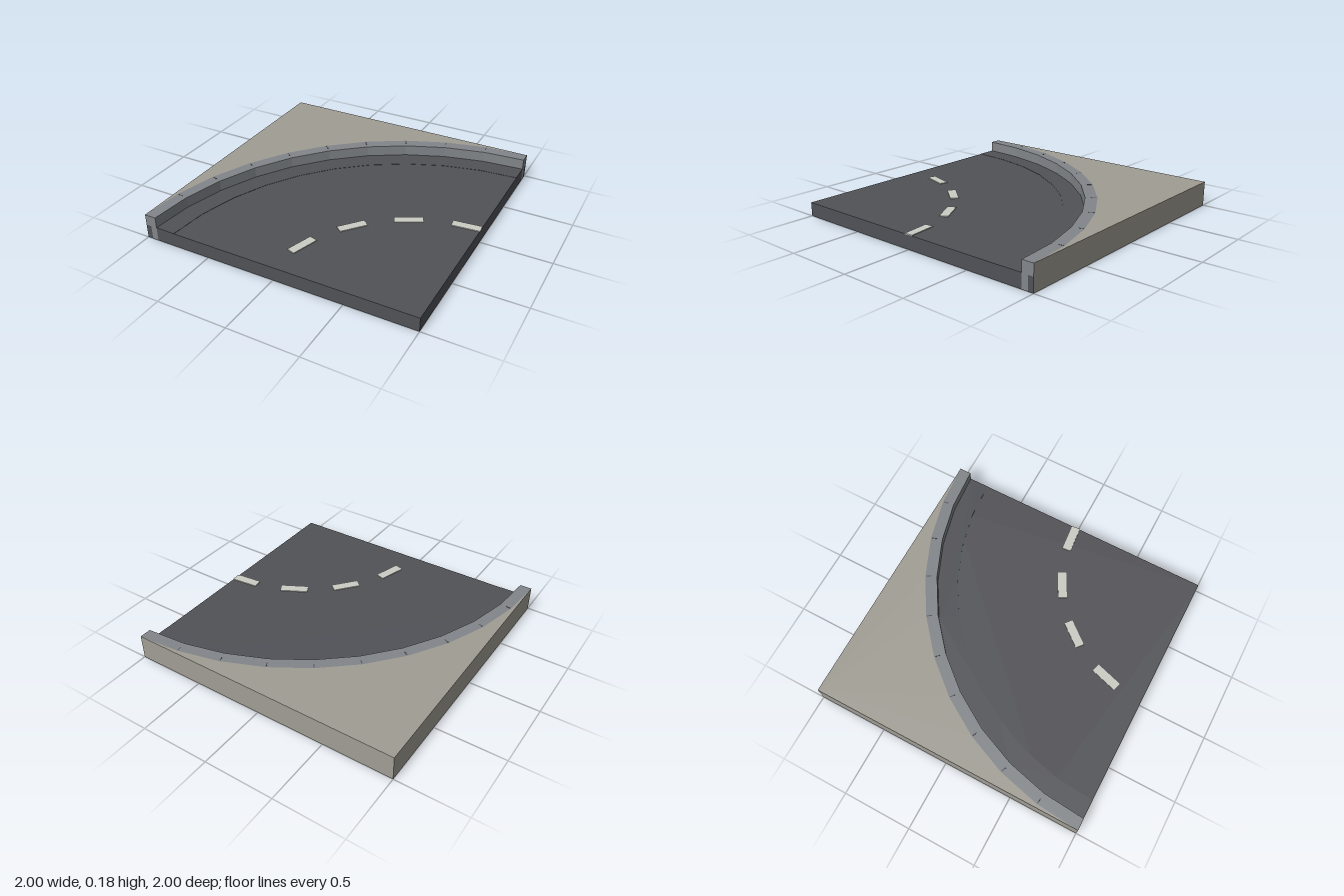
import * as THREE from 'three';

const STEPS = 10; // facets along the quarter turn
const ROAD_TOP = 0.1, CURB_TOP = 0.18;

const material = (name, color) => {
  const m = new THREE.MeshStandardMaterial({ color });
  m.name = name;
  return m;
};

// Points of a quarter arc about the corner x = 1, z = 1 (shape y is -z)
function arc(r) {
  return Array.from({ length: STEPS + 1 }, (_, i) => {
    const a = (i / STEPS) * Math.PI / 2;
    return new THREE.Vector2(1 - r * Math.sin(a), r * Math.cos(a) - 1);
  });
}

export function createModel() {
  const group = new THREE.Group();
  const asphalt = material('asphalt', 0x515257);
  const concrete = material('curb concrete', 0x82868a);
  const ground = material('ground', 0xa09d94);
  const paint = material('road paint', 0xcbccc3);

  const add = (name, geometry, mat) => {
    const mesh = new THREE.Mesh(geometry, mat);
    mesh.name = name;
    group.add(mesh);
    return mesh;
  };

  // Flat slab between two heights from an outline seen from above
  const slab = (name, points, y0, y1, mat) => {
    const g = new THREE.ExtrudeGeometry(new THREE.Shape(points), { depth: y1 - y0, bevelEnabled: false });
    g.rotateX(-Math.PI / 2);
    g.translate(0, y0, 0);
    return add(name, g, mat);
  };
  const ring = (r0, r1) => [...arc(r1), ...arc(r0).reverse()];

  // Road surface and outer ground
  slab('road', [new THREE.Vector2(1, -1), ...arc(1.915)], 0, ROAD_TOP, asphalt);
  slab('outerGround', [new THREE.Vector2(-1, 1), ...arc(2)], 0, CURB_TOP, ground);

  // Curb: inner wall plus an overhanging top above the road bed
  slab('curbWall', ring(1.915, 1.96), 0, CURB_TOP, concrete);
  slab('curbTop', ring(1.96, 2), ROAD_TOP, CURB_TOP, concrete);
  slab('roadBed', ring(1.96, 2), 0, ROAD_TOP, asphalt);
  slab('gutter', ring(1.77, 1.915), ROAD_TOP, ROAD_TOP + 0.002, asphalt);

  // Places a small plate at a polar position on the bend
  const plate = (name, angle, r, along, across, y, h, mat) => {
    const mesh = add(name, new THREE.BoxGeometry(along, h, across), mat);
    mesh.position.set(1 - r * Math.sin(angle), y + h / 2, 1 - r * Math.cos(angle));
    mesh.rotation.y = angle;
  };

  // Joints between curb stones
  for (let i = 1; i < STEPS; i++) {
    plate('curbJoint', (i / STEPS) * Math.PI / 2, 1.975, 0.007, 0.036, CURB_TOP, 0.001, asphalt);
  }

  // Dashed centre line
  for (let i = 0; i < 4; i++) {
    plate('laneDash', (i + 0.25) * Math.PI / 8, 1, 0.2, 0.062, ROAD_TOP, 0.006, paint);
  }
  return group;
}
